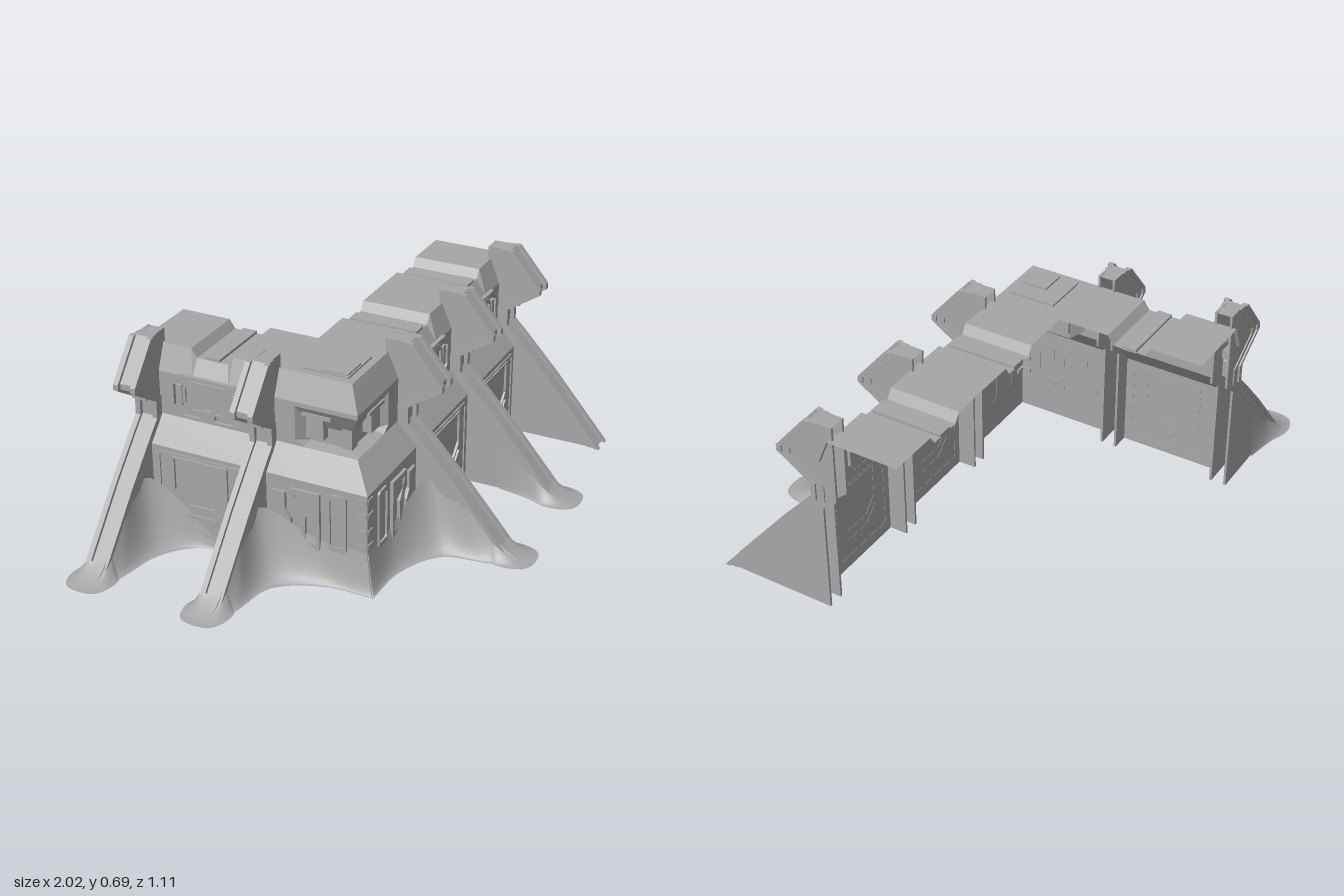
import * as THREE from 'three';
import { ParametricGeometry } from 'three/addons/geometries/ParametricGeometry.js';

const grey = new THREE.MeshStandardMaterial({ color: 0xa6a6a6, side: THREE.DoubleSide });
grey.name = 'plain grey';

// Wing space: x runs along the wall away from the corner, z points outward.
const cornerX = (z) => -0.2 - z; // mitre line at the corner

function add(parent, name, geometry, x = 0, y = 0, z = 0) {
  const mesh = new THREE.Mesh(geometry, grey);
  mesh.name = name;
  mesh.position.set(x, y, z);
  parent.add(mesh);
  return mesh;
}

// Faceted skin through a row of cross-sections, each a list of [x, y, z]
function loft(sections) {
  const v = [];
  for (let i = 0; i + 1 < sections.length; i++) {
    const A = sections[i], B = sections[i + 1];
    for (let j = 0; j + 1 < A.length; j++) {
      v.push(...A[j], ...B[j], ...B[j + 1], ...A[j], ...B[j + 1], ...A[j + 1]);
    }
  }
  const g = new THREE.BufferGeometry();
  g.setAttribute('position', new THREE.Float32BufferAttribute(v, 3));
  g.computeVertexNormals();
  return g;
}
const section = (profile, x) => profile.map(([z, y]) => [x === null ? cornerX(z) : x, y, z]);

const toShape = (pts) => new THREE.Shape(pts.map(([x, y]) => new THREE.Vector2(x, y)));
const octagon = (w, h, c) => [[-w, -h + c], [-w + c, -h], [w - c, -h], [w, -h + c],
  [w, h - c], [w - c, h], [-w + c, h], [-w, h - c]];
const shield = (w, h) => [[-w, h], [-w, -0.4 * h], [-0.5 * w, -h], [0.5 * w, -h], [w, -0.4 * h], [w, h]];

// Raised plate, or a frame when a hole scale is given
function plate(pts, depth, hole = 0) {
  const s = toShape(pts);
  if (hole) s.holes.push(new THREE.Path(pts.map(([x, y]) => new THREE.Vector2(x * hole, y * hole)).reverse()));
  return new THREE.ExtrudeGeometry(s, { depth, bevelEnabled: false });
}

// Side outline given as [z, y], extruded across the width
function slab(pts, width) {
  const g = new THREE.ExtrudeGeometry(toShape(pts), { depth: width, bevelEnabled: false });
  g.translate(0, 0, -width / 2);
  g.rotateY(-Math.PI / 2);
  return g;
}

// Smooth hollow-curved apron between a ground line and an upper line
function apron(outer, inner) {
  const curve = (p) => new THREE.CatmullRomCurve3(p.map((q) => new THREE.Vector3(...q)), false, 'centripetal');
  const co = curve(outer), ci = curve(inner);
  return new ParametricGeometry((u, v, out) => {
    const a = co.getPoint(u), b = ci.getPoint(u);
    out.lerpVectors(a, b, v);
    out.y = a.y + (b.y - a.y) * Math.pow(v, 1.8);
  }, 28, 8);
}

const pierFront = [[0.55, 0], [0.35, 0.235], [0.225, 0.37], [0.185, 0.41], [0.185, 0.47],
  [0.3, 0.545], [0.3, 0.565], [0.195, 0.69]];

function pier(wing, x) {
  const g = new THREE.Group();
  g.name = 'buttress';
  g.position.x = x;
  wing.add(g);
  const cheek = [...pierFront.map(([z, y]) => [z - 0.01, y]), [0.1, 0.69], [0.1, 0.42], [0.15, 0.38], [0.15, 0]];
  const band = [...pierFront, ...pierFront.map(([z, y]) => [z - 0.045, y]).reverse()];
  const lip = [...pierFront, ...pierFront.map(([z, y]) => [z - 0.018, y]).reverse()];
  for (const s of [-1, 1]) {
    add(g, 'buttressCheek', slab(cheek, 0.008), s * 0.026);
    add(g, 'buttressRail', slab(band, 0.012), s * 0.028);
    add(g, 'buttressLip', slab(lip, 0.012), s * 0.034);
  }
  // sunken channel between the rails
  const channel = [...pierFront.map(([z, y]) => [z - 0.014, y]), [0.1, 0.688]];
  add(g, 'buttressChannel', loft([section(channel, -0.026), section(channel, 0.026)]));
  add(g, 'headClamp', new THREE.BoxGeometry(0.05, 0.03, 0.06), 0, 0.5, 0.19);
}

const footPad = (wing, x) => add(wing, 'footPad', apron(
  [[0.035, 0, 0.34], [0.055, 0, 0.45], [0.08, 0, 0.54], [0.05, 0, 0.61], [-0.05, 0, 0.61],
    [-0.08, 0, 0.53], [-0.055, 0, 0.45], [-0.035, 0, 0.34]],
  [[0.03, 0.22, 0.34], [0.03, 0.11, 0.44], [0.03, 0.07, 0.49], [0.02, 0.045, 0.51], [-0.02, 0.045, 0.51],
    [-0.03, 0.07, 0.49], [-0.03, 0.11, 0.44], [-0.03, 0.22, 0.34]]), x);

// Apron sweeping from a foot back to the wall on the corner side
function sideApron(wing, x, reachesCorner) {
  const outEnd = reachesCorner ? [[-0.25, 0, 0.26], [-0.425, 0, 0.25]] : [[-0.18, 0, 0.25], [-0.27, 0, 0.212]];
  const inEnd = reachesCorner ? [[-0.2, 0.14, 0.212], [-0.385, 0.13, 0.212]] : [[-0.16, 0.12, 0.212], [-0.27, 0.01, 0.212]];
  add(wing, 'sideApron', apron(
    [[-0.03, 0, 0.61], [-0.075, 0, 0.5], [-0.11, 0, 0.34], ...outEnd],
    [[-0.03, 0.05, 0.51], [-0.033, 0.15, 0.4], [-0.033, 0.23, 0.26], ...inEnd]), x);
}

const lowerWall = [[0.21, 0], [0.21, 0.33], [0.145, 0.41]];
const flatBand = [[0.145, 0.43], [0.145, 0.47], [0.145, 0.545], [0.145, 0.56]];
const sunkBand = [[0.1, 0.415], [0.1, 0.47], [0.145, 0.545], [0.145, 0.56]];

function bay(wing, x0, x1) {
  const profile = [...lowerWall, ...flatBand];
  add(wing, 'bayWall', loft([section(profile, x0), section(profile, x1)]));
  const x = (x0 + x1) / 2;
  // upper octagonal panel
  add(wing, 'upperFrame', plate(octagon(0.135, 0.075, 0.035), 0.014, 0.88), x, 0.493, 0.144);
  add(wing, 'upperInnerFrame', plate(octagon(0.09, 0.052, 0.025), 0.008, 0.88), x, 0.497, 0.144);
  for (const s of [-1, 1]) {
    add(wing, 'upperBlock', new THREE.BoxGeometry(0.02, 0.07, 0.02), x + s * 0.1, 0.495, 0.145);
  }
  add(wing, 'hexPlate', plate(octagon(0.028, 0.02, 0.012), 0.014), x, 0.44, 0.144);
  // lower shield panel
  add(wing, 'lowerFrame', plate(octagon(0.155, 0.14, 0.01), 0.006, 0.95), x, 0.175, 0.209);
  add(wing, 'lowerShield', plate(shield(0.1, 0.085), 0.009, 0.93), x, 0.22, 0.209);
  add(wing, 'chevron', plate([[-0.1, 0.05], [-0.05, 0], [0.05, 0], [0.1, 0.05],
    [0.1, 0.038], [0.05, -0.012], [-0.05, -0.012], [-0.1, 0.038]].reverse(), 0.008), x, 0.105, 0.209);
}

function cornerBay(wing, x1) {
  const sunk = [...lowerWall, ...sunkBand], flat = [...lowerWall, ...flatBand];
  add(wing, 'cornerWall', loft([section(sunk, null), section(sunk, -0.16), section(flat, -0.13), section(flat, x1)]));
  // window housing and its sill
  add(wing, 'windowBox', new THREE.BoxGeometry(0.06, 0.075, 0.04), -0.19, 0.475, 0.11);
  add(wing, 'windowHood', new THREE.BoxGeometry(0.1, 0.012, 0.05), -0.2, 0.52, 0.115);
  add(wing, 'cornerPost', new THREE.BoxGeometry(0.035, 0.11, 0.035), -0.29, 0.465, 0.09);
  // lower door plates
  add(wing, 'doorPlate', plate([[-0.05, -0.1], [0.0, -0.1], [0.0, 0.01], [0.05, 0.04], [0.05, 0.1], [-0.05, 0.1]],
    0.012, 0.8), -0.2, 0.2, 0.209);
  add(wing, 'doorKey', plate([[-0.03, -0.1], [0.01, -0.1], [0.01, 0.0], [0.035, 0.02], [0.035, 0.09], [-0.01, 0.09],
    [-0.01, 0.03], [-0.03, 0.0]], 0.012), -0.12, 0.19, 0.209);
  add(wing, 'doorStrip', plate(octagon(0.03, 0.1, 0.008), 0.008, 0.85), -0.31, 0.21, 0.209);
  for (const y of [0.15, 0.2, 0.26, 0.31]) {
    add(wing, 'cornerTooth', new THREE.BoxGeometry(0.035, 0.014, 0.012), -0.392, y, 0.208);
  }
}

// Parapet slope and walkway, with a groove across the middle of each bay
function roof(wing, piers, end) {
  const strip = (y) => [[0.145, 0.56], [0.11, y], [-0.13, y]];
  const rows = [section(strip(0.645), null)];
  for (let i = 0; i + 1 < piers.length; i++) {
    const c = (piers[i] + piers[i + 1]) / 2;
    rows.push(...[[-0.075, 0.645], [-0.055, 0.615], [0.055, 0.615], [0.075, 0.645]]
      .map(([d, y]) => section(strip(y), c + d)));
    add(wing, 'walkwayRib', new THREE.BoxGeometry(0.05, 0.012, 0.24), c, 0.618, -0.01);
  }
  rows.push(section(strip(0.645), end));
  add(wing, 'walkway', loft(rows));
}

function buildWing(name, piers, aprons, pads) {
  const wing = new THREE.Group();
  wing.name = name;
  cornerBay(wing, piers[0] - 0.03);
  for (let i = 0; i + 1 < piers.length; i++) bay(wing, piers[i] + 0.03, piers[i + 1] - 0.03);
  piers.forEach((x, i) => {
    pier(wing, x);
    if (i < pads) footPad(wing, x);
    if (i < aprons) sideApron(wing, x, i === 0);
  });
  roof(wing, piers, piers[piers.length - 1] + 0.042);
  return wing;
}

export function createModel() {
  const model = new THREE.Group();
  model.name = 'cornerRampart';
  const wall = new THREE.Group();
  wall.name = 'wall';
  wall.rotation.y = THREE.MathUtils.degToRad(32);
  model.add(wall);

  wall.add(buildWing('longWing', [-0.03, 0.38, 0.79], 1, 2));

  // the short wing mirrors the long one across the corner
  const short = buildWing('shortWing', [-0.03, 0.385], 2, 2);
  short.rotation.y = -Math.PI / 2;
  short.scale.x = -1;
  short.position.set(-0.2, 0, -0.2);
  wall.add(short);

  // stepped hatch on the corner of the walkway
  add(wall, 'cornerHatch', new THREE.BoxGeometry(0.16, 0.006, 0.16), -0.205, 0.648, 0.005);
  add(wall, 'cornerHatchStep', new THREE.BoxGeometry(0.09, 0.008, 0.09), -0.235, 0.653, 0.035);
  return model;
}
